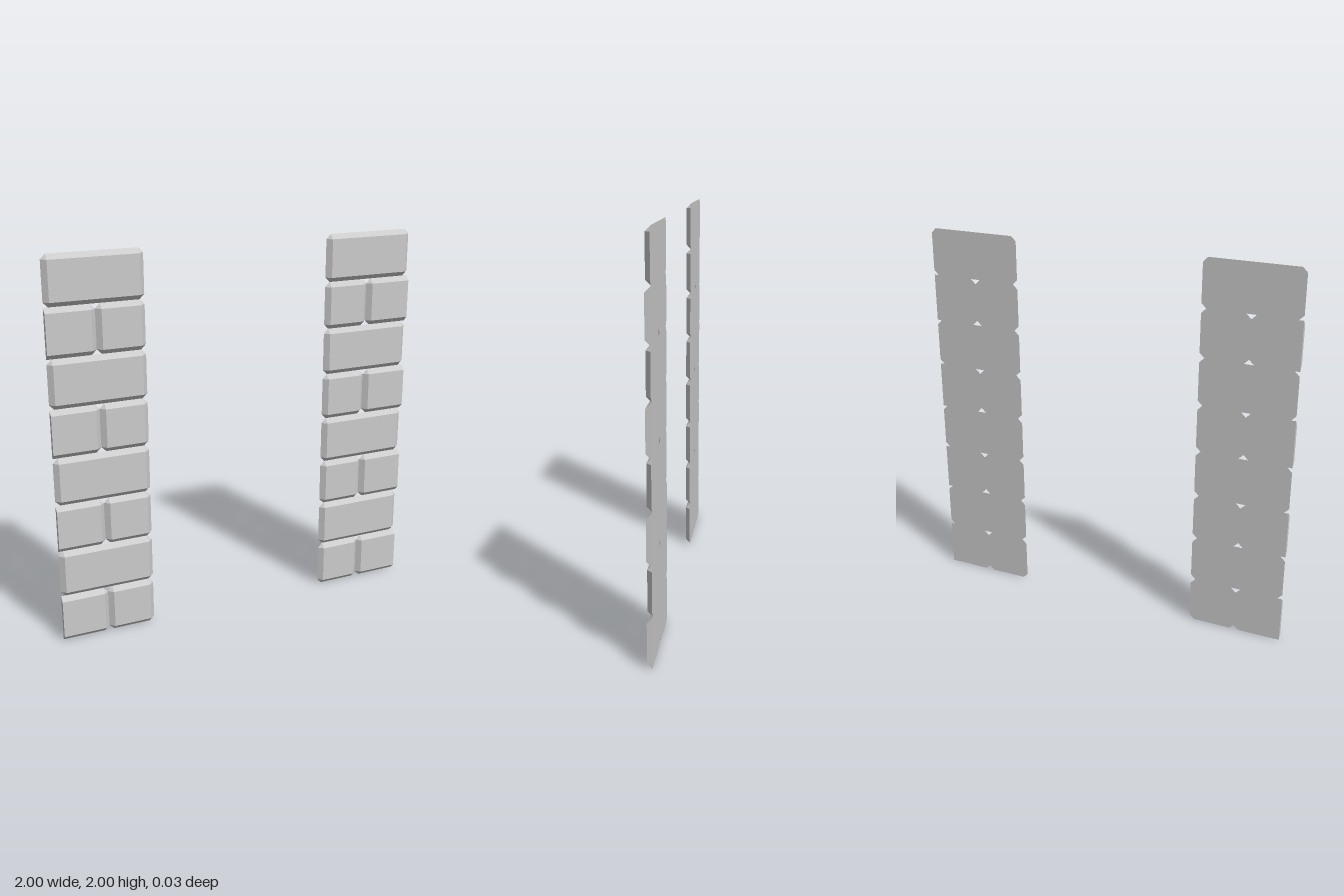
import * as THREE from 'three';

const BEVEL = 0.025, HALF_DEPTH = 0.0125, ROW = 0.25;

// Bevelled brick with clipped back corners; flush = side (-1 or 1) cut off square, 0 for none
function brickGeometry(w, h, flush) {
  const back = [], front = [], pos = [];
  for (const [sx, sy] of [[1, -1], [1, 1], [-1, 1], [-1, -1]]) {
    const c = flush === sx ? 0 : BEVEL;
    const onSide = new THREE.Vector3(sx * w / 2, sy * (h / 2 - c), -HALF_DEPTH);
    const onEdge = new THREE.Vector3(sx * (w / 2 - c), sy * h / 2, -HALF_DEPTH);
    const inset = new THREE.Vector3(sx * (w / 2 - c), sy * (h / 2 - BEVEL), HALF_DEPTH);
    back.push(...(sx * sy > 0 ? [onSide, onEdge] : [onEdge, onSide]));
    front.push(inset, inset);
  }
  const area = new THREE.Triangle();
  const tri = (a, b, c) => {
    if (area.set(a, b, c).getArea() < 1e-8) return;
    for (const p of [a, b, c]) pos.push(p.x, p.y, p.z);
  };
  const n = back.length;
  // Bevels and corner facets
  for (let i = 0; i < n; i++) {
    const j = (i + 1) % n;
    tri(back[i], back[j], front[j]);
    tri(back[i], front[j], front[i]);
  }
  // Front and back caps
  for (let i = 1; i < n - 1; i++) {
    tri(front[0], front[i], front[i + 1]);
    tri(back[0], back[i + 1], back[i]);
  }
  const g = new THREE.BufferGeometry();
  g.setAttribute('position', new THREE.Float32BufferAttribute(pos, 3));
  g.computeVertexNormals();
  return g;
}

export function createModel() {
  const model = new THREE.Group();
  model.name = 'brickColumns';
  const material = new THREE.MeshStandardMaterial({ color: 0xcccccc, flatShading: true });
  const longBrick = brickGeometry(0.5, ROW, 0);
  const halfBrick = brickGeometry(0.25, ROW, 0);

  for (const side of [-1, 1]) {
    const column = new THREE.Group();
    column.name = side > 0 ? 'leftColumn' : 'rightColumn';
    const endBrick = brickGeometry(0.25, ROW, side);
    const add = (name, geometry, x, row) => {
      const mesh = new THREE.Mesh(geometry, material);
      mesh.name = name;
      mesh.position.set(side * x, (row + 0.5) * ROW, 0);
      column.add(mesh);
    };
    // Courses alternate between two half bricks and one long brick
    for (let row = 0; row < 8; row++) {
      if (row % 2) {
        add('longBrick', longBrick, 0.75, row);
      } else {
        add('innerHalfBrick', halfBrick, 0.625, row);
        add('outerHalfBrick', endBrick, 0.875, row);
      }
    }
    model.add(column);
  }
  return model;
}
